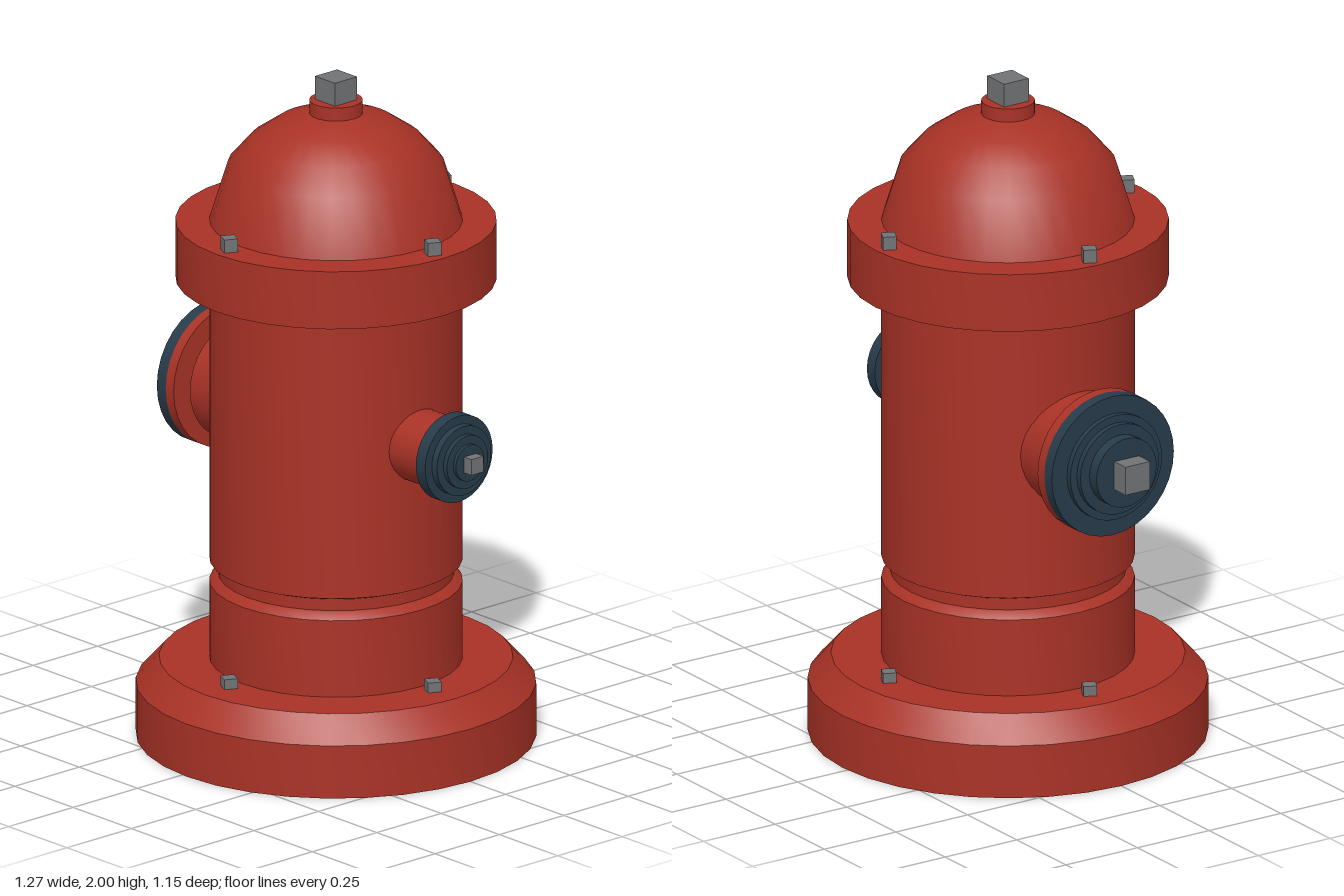
import * as THREE from 'three';
import { toCreasedNormals } from 'three/addons/utils/BufferGeometryUtils.js';

const mat = (name, color) => {
  const m = new THREE.MeshStandardMaterial({ color });
  m.name = name;
  return m;
};

export function createModel() {
  const red = mat('hydrant red', 0xa93226);
  const navy = mat('cap slate blue', 0x273b4a);
  const steel = mat('bolt grey', 0x717375);
  const AXIS_X = 0.023;

  const add = (parent, name, geometry, material) => {
    const mesh = new THREE.Mesh(geometry, material);
    mesh.name = name;
    parent.add(mesh);
    return mesh;
  };
  // Turned part from [radius, height] pairs, listed bottom to top
  const turned = (profile) => toCreasedNormals(
    new THREE.LatheGeometry(profile.map(([r, y]) => new THREE.Vector2(r, y)), 32), 0.55);

  const model = new THREE.Group();
  model.name = 'fireHydrant';

  const barrel = new THREE.Group();
  barrel.name = 'barrel';
  barrel.position.x = AXIS_X;
  model.add(barrel);

  add(barrel, 'base', turned([[0, 0], [0.577, 0], [0.577, 0.16], [0.51, 0.235], [0, 0.235]]), red);
  // Column with a groove above the lower section
  add(barrel, 'column', turned([
    [0.365, 0.23], [0.365, 0.468], [0.345, 0.488], [0.34, 0.49], [0.34, 0.525],
    [0.365, 0.535], [0.365, 1.4],
  ]), red);
  add(barrel, 'topFlange', turned([[0, 1.39], [0.463, 1.39], [0.463, 1.565], [0, 1.565]]), red);
  add(barrel, 'dome', turned([
    [0.365, 1.565], [0.312, 1.737], [0.25, 1.808], [0.172, 1.862], [0.08, 1.89], [0, 1.893],
  ]), red);
  add(barrel, 'domeCollar', turned([[0.077, 1.88], [0.077, 1.93], [0, 1.93]]), red);
  add(barrel, 'topNut', new THREE.BoxGeometry(0.086, 0.07, 0.086), steel).position.y = 1.965;

  // Four bolts on the base and four on the flange
  for (const [name, y, h] of [['baseBolt', 0.235, 0.03], ['flangeBolt', 1.565, 0.04]]) {
    for (let i = 0; i < 4; i++) {
      const a = i * Math.PI / 2;
      const bolt = add(barrel, name, new THREE.BoxGeometry(0.04, h, 0.04), steel);
      bolt.position.set(Math.cos(a) * 0.415 - 0.003, y + h / 2, Math.sin(a) * 0.415 - 0.003);
      bolt.rotation.y = -0.45;
    }
  }

  // Side outlets are turned upright, then laid along +x or -x
  const outlet = (name, side, pipe, cap, nutSize, nutFrom, nutTo) => {
    const g = new THREE.Group();
    g.name = name;
    g.position.y = 0.97;
    g.rotation.z = -side * Math.PI / 2;
    add(g, 'pipe', turned(pipe), red);
    add(g, 'steppedCap', turned(cap), navy);
    add(g, 'capNut', new THREE.BoxGeometry(nutSize, nutTo - nutFrom, nutSize), steel)
      .position.y = (nutFrom + nutTo) / 2;
    model.add(g);
  };
  outlet('leftOutlet', 1,
    [[0.108, 0.3], [0.108, 0.488], [0.088, 0.488], [0.088, 0.515]],
    [[0, 0.51], [0.131, 0.51], [0.131, 0.55], [0.105, 0.55], [0.105, 0.572], [0.08, 0.572],
      [0.08, 0.587], [0.055, 0.587], [0.055, 0.598], [0, 0.598]],
    0.048, 0.59, 0.63);
  outlet('rightOutlet', -1,
    [[0.175, 0.2], [0.175, 0.41], [0.13, 0.41], [0.13, 0.438], [0.213, 0.438], [0.213, 0.472]],
    [[0, 0.472], [0.213, 0.472], [0.213, 0.51], [0.16, 0.51], [0.16, 0.527], [0.137, 0.527],
      [0.137, 0.545], [0.105, 0.545], [0.105, 0.58], [0, 0.58]],
    0.086, 0.57, 0.637);

  return model;
}
